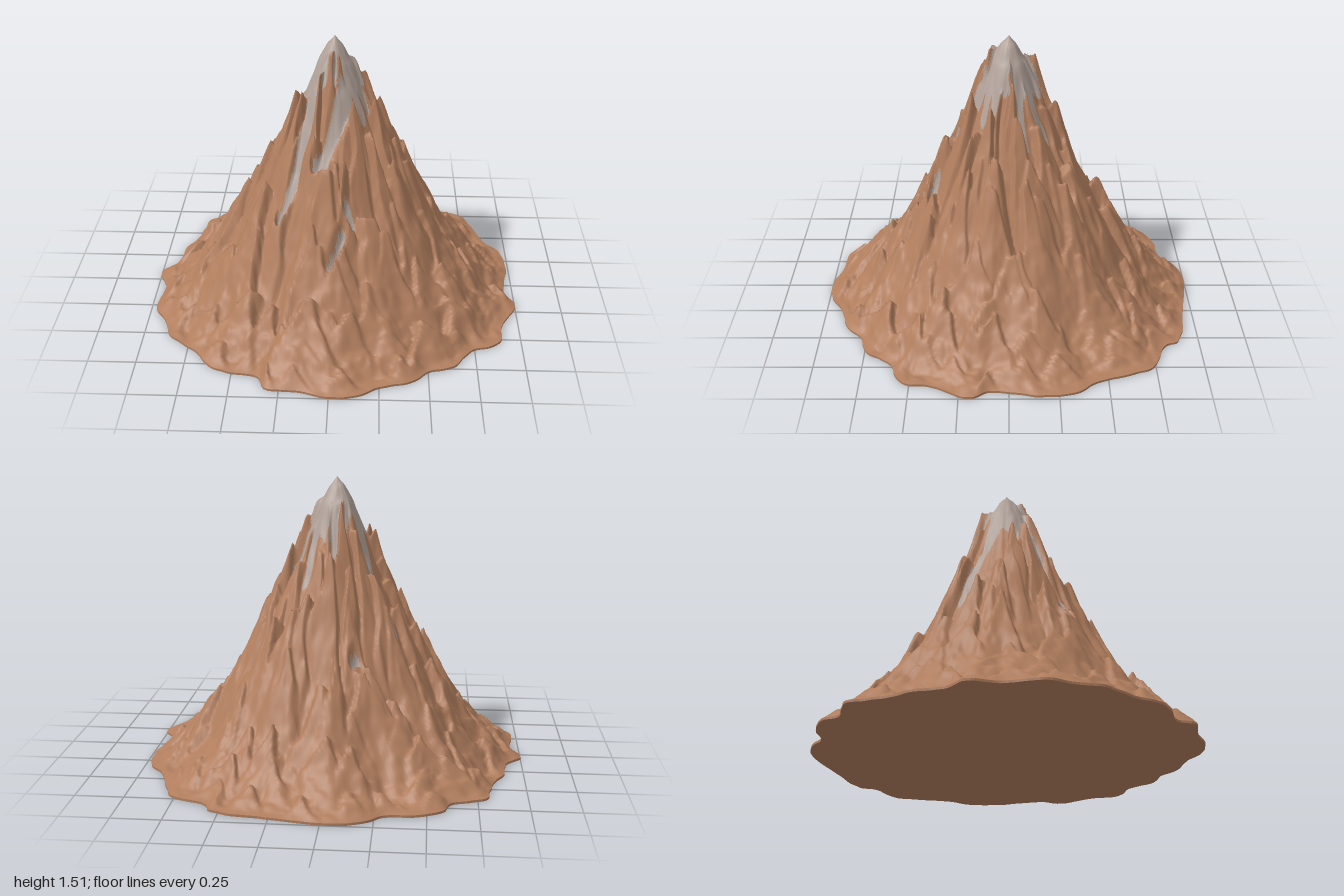
import * as THREE from 'three';

const SEGMENTS = 340, RINGS = 130, BASE = 0.012;

// Seeded random numbers and smooth value noise
let seed = 11;
const rand = () => (seed = (seed * 16807) % 2147483647) / 2147483647;
const hash = (i, j) => {
  const s = Math.sin(i * 127.1 + j * 311.7) * 43758.5453;
  return s - Math.floor(s);
};
function noise(x, y) {
  const i = Math.floor(x), j = Math.floor(y);
  const f = THREE.MathUtils.smoothstep(x - i, 0, 1), g = THREE.MathUtils.smoothstep(y - j, 0, 1);
  const lerp = THREE.MathUtils.lerp;
  return lerp(lerp(hash(i, j), hash(i + 1, j), f), lerp(hash(i, j + 1), hash(i + 1, j + 1), f), g) * 2 - 1;
}

// Footprint corners as x, z
const outline = [[1, 0.2], [0.95, 0.08], [0.99, -0.18], [0.96, -0.33], [0.9, -0.42], [0.8, -0.64], [0.76, -0.74],
  [0.57, -0.82], [0.54, -0.89], [0.25, -0.955], [-0.05, -1], [-0.2, -0.96], [-0.31, -0.88], [-0.42, -0.88],
  [-0.58, -0.8], [-0.62, -0.71], [-0.79, -0.64], [-0.83, -0.45], [-0.9, -0.32], [-0.92, -0.15], [-1, -0.06],
  [-0.95, 0.1], [-0.97, 0.3], [-0.89, 0.42], [-0.85, 0.54], [-0.72, 0.65], [-0.59, 0.8], [-0.36, 0.86],
  [-0.32, 0.94], [-0.14, 0.96], [0, 1], [0.14, 0.985], [0.25, 0.92], [0.42, 0.86], [0.5, 0.79], [0.65, 0.73],
  [0.72, 0.62], [0.89, 0.53], [0.91, 0.38]];

// Mean slope as radius, height
const profile = [[0, 1.515], [0.04, 1.475], [0.09, 1.385], [0.15, 1.225], [0.2, 1.085], [0.25, 0.965], [0.3, 0.855],
  [0.4, 0.655], [0.5, 0.475], [0.6, 0.325], [0.7, 0.205], [0.8, 0.11], [0.9, 0.05], [1, BASE]];
function slope(r) {
  const k = Math.max(1, profile.findIndex(p => p[0] >= r));
  const [r0, y0] = profile[k - 1], [r1, y1] = profile[k];
  return THREE.MathUtils.mapLinear(Math.min(r, 1), r0, r1, y0, y1);
}

// Rock spurs: tip position, lift above the slope, half width, length
const spurs = [];
function addSpur(x, z, lift, width, length) {
  const r = Math.hypot(x, z);
  spurs.push({ r, cx: x / r, cz: z / r, lift, width, length });
}
[[-0.05, 0.33, 0.15, 0.17, 0.4], [0.2, 0.4, 0.13, 0.18, 0.35], [-0.12, 0.68, 0.12, 0.22, 0.25],
  [0.33, 0.06, 0.15, 0.15, 0.4], [0.53, 0, 0.13, 0.2, 0.3], [0.04, 0.12, 0.11, 0.05, 0.2],
  [0.2, -0.32, 0.16, 0.2, 0.4], [-0.42, -0.25, 0.11, 0.16, 0.3], [0.38, -0.1, 0.16, 0.13, 0.3],
  [-0.24, 0.04, 0.13, 0.1, 0.25]].forEach(s => addSpur(...s));
// tiers: count, radius, lift, half width, length
[[7, 0.12, 0.08, 0.05, 0.18], [9, 0.17, 0.14, 0.065, 0.22], [11, 0.25, 0.16, 0.085, 0.26], [12, 0.34, 0.16, 0.1, 0.28],
  [14, 0.44, 0.15, 0.12, 0.27], [15, 0.54, 0.14, 0.14, 0.24], [18, 0.65, 0.115, 0.13, 0.2],
  [22, 0.75, 0.085, 0.12, 0.15], [28, 0.86, 0.055, 0.085, 0.12]].forEach(([count, radius, lift, width, length]) => {
  for (let i = 0; i < count; i++) {
    const a = (i + rand() * 0.9) / count * Math.PI * 2;
    const r = radius + (rand() - 0.5) * 0.09;
    addSpur(Math.cos(a) * r, Math.sin(a) * r, lift * (0.6 + 0.6 * rand()), width * (0.7 + 0.6 * rand()), length);
  }
});

// Pale gullies: start x, z, end x, z, half width
const gullies = [[-0.07, 0.08, -0.26, 0.33, 0.035], [0.07, 0.15, -0.08, 0.28, 0.026], [0.08, 0.38, 0.13, 0.42, 0.026],
  [0.05, 0.45, -0.03, 0.52, 0.022], [0.06, 0.04, 0.17, 0.09, 0.03], [0.08, -0.02, 0.2, -0.07, 0.028],
  [0.08, -0.09, 0.15, -0.2, 0.02], [-0.06, -0.04, -0.2, -0.13, 0.035], [-0.22, -0.14, -0.3, -0.19, 0.04],
  [-0.15, -0.4, -0.12, -0.43, 0.02], [0, -0.08, 0.02, -0.18, 0.024], [0.06, 0.08, 0.14, 0.14, 0.026],
  [-0.06, 0.02, -0.15, 0.06, 0.03]];
// Distance to the nearest gully, in half widths
function gullyDistance(x, z) {
  let best = 9;
  for (const [ax, az, bx, bz, w] of gullies) {
    const dx = bx - ax, dz = bz - az;
    const t = THREE.MathUtils.clamp(((x - ax) * dx + (z - az) * dz) / (dx * dx + dz * dz), 0, 1);
    best = Math.min(best, Math.hypot(x - ax - t * dx, z - az - t * dz) / (w * (1.1 - 0.4 * t)));
  }
  return best;
}

// Height of the rock and whether it is pale at one place; t runs from summit to rim
function sample(x, z, t, rim) {
  const wx = x + 0.026 * noise(x * 8, z * 8 + 40) + 0.008 * noise(x * 24, z * 24);
  const wz = z + 0.026 * noise(x * 8 + 70, z * 8) + 0.008 * noise(x * 24, z * 24 + 30);
  const r = Math.hypot(wx, wz);
  let lift = 0;
  for (const s of spurs) {
    const u = wx * s.cx + wz * s.cz - s.r;
    if (u < -0.045 || u > s.length) continue;
    const v = Math.abs(wz * s.cx - wx * s.cz);
    const w = s.width * (0.3 + 0.7 * Math.min(1, Math.max(0, u) / (s.length * 0.5)));
    if (v > w) continue;
    const along = u < 0 ? 1 + u / 0.045 : 1 - u / s.length;
    lift = Math.max(lift, s.lift * Math.min(along, 1.15 * (1 - Math.pow(v / w, 1.5))));
  }
  const gully = gullyDistance(wx, wz);
  lift *= THREE.MathUtils.smoothstep(gully, 0.5, 1.7);
  const fade = Math.min(1, (1 - t) * 14) * Math.min(1, t * 14);
  const rough = 0.022 * noise(x * 6 + 9, z * 6) + 0.016 * noise(x * 17, z * 17) + 0.008 * noise(x * 38, z * 38);
  const rr = Math.hypot(x, z) / (1 + (rim - 1) * t);
  const y = Math.max(BASE, slope(rr) + fade * (lift + rough));
  const edge = 0.145 + 0.03 * noise(x * 25, z * 25);
  const pale = gully < 0.95 || r < 0.08 || (r < edge && lift < 0.05);
  return { y, pale };
}

// Mountain surface as rings from the summit to the rim
function mountainGeometry(rim) {
  const positions = [], pale = [], rock = [], cap = [];
  for (let i = 0; i <= RINGS; i++) {
    const t = i / RINGS;
    for (const p of rim) {
      const x = p.x * t, z = p.z * t;
      const s = sample(x, z, t, Math.hypot(p.x, p.z));
      positions.push(x, s.y, z);
      pale.push(s.pale ? 1 : 0);
    }
  }
  const face = (a, b, c) => (pale[a] + pale[b] + pale[c] > 1 ? cap : rock).push(a, b, c);
  for (let i = 0; i < RINGS; i++) {
    for (let j = 0; j < SEGMENTS; j++) {
      const k = (j + 1) % SEGMENTS;
      const a = i * SEGMENTS + j, b = i * SEGMENTS + k, c = a + SEGMENTS, d = b + SEGMENTS;
      if (i > 0) face(a, d, b);
      face(a, c, d);
    }
  }
  const g = new THREE.BufferGeometry();
  g.setAttribute('position', new THREE.Float32BufferAttribute(positions, 3));
  g.setIndex([...rock, ...cap]);
  g.addGroup(0, rock.length, 0);
  g.addGroup(rock.length, cap.length, 1);
  g.computeVertexNormals();
  // the summit is one point shared by the whole first ring
  for (let j = 0; j < SEGMENTS; j++) g.attributes.normal.setXYZ(j, 0, 1, 0);
  return g;
}

export function createModel() {
  const rockMaterial = new THREE.MeshStandardMaterial({ color: 0xb17e5e });
  rockMaterial.name = 'brown rock';
  const capMaterial = new THREE.MeshStandardMaterial({ color: 0xb0a198 });
  capMaterial.name = 'pale grey cap';

  // Footprint with a slightly ragged edge
  const curve = new THREE.CatmullRomCurve3(outline.map(([x, z]) => new THREE.Vector3(x, 0, z)), true);
  const rim = curve.getSpacedPoints(SEGMENTS).slice(0, SEGMENTS);
  rim.forEach(p => {
    p.multiplyScalar(1 + 0.008 * noise(p.x * 16, p.z * 16));
    p.x = THREE.MathUtils.clamp(p.x, -1, 1);
    p.z = THREE.MathUtils.clamp(p.z, -1, 1);
  });

  const group = new THREE.Group();
  group.name = 'mountain';
  const slopes = new THREE.Mesh(mountainGeometry(rim), [rockMaterial, capMaterial]);
  slopes.name = 'rockySlopes';
  group.add(slopes);

  // Flat underside with a thin rim
  const shape = new THREE.Shape(rim.map(p => new THREE.Vector2(p.x, -p.z)));
  const base = new THREE.Mesh(new THREE.ExtrudeGeometry(shape, { depth: BASE, bevelEnabled: false }), rockMaterial);
  base.rotation.x = -Math.PI / 2;
  base.name = 'basePlate';
  group.add(base);
  return group;
}
